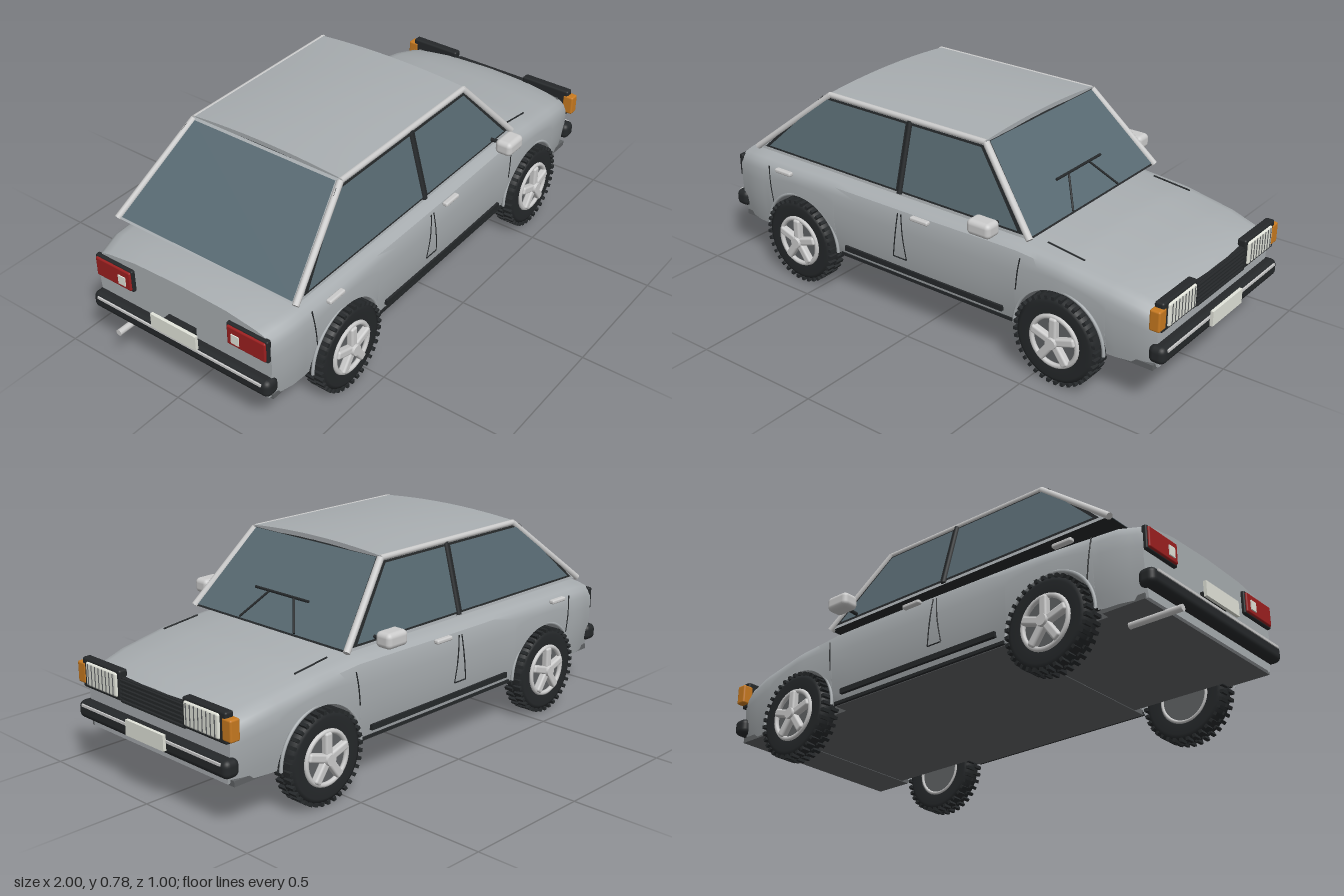
import * as THREE from 'three';
import { toCreasedNormals } from 'three/addons/utils/BufferGeometryUtils.js';
import { RoundedBoxGeometry } from 'three/addons/geometries/RoundedBoxGeometry.js';

const mat = (color, side = THREE.FrontSide) => new THREE.MeshStandardMaterial({ color, side });
const GREY = mat(0xcccccc), PAINT = mat(0xa8adb0, THREE.DoubleSide), BLACK = mat(0x25282a, THREE.DoubleSide);
const GLASS = mat(0x586a72, THREE.DoubleSide), RED = mat(0x9c1f1f), ORANGE = mat(0xc87a20);
const LAMP = mat(0xe2e4da), FLOOR = mat(0x606365);

const WHEEL_X = [-0.595, 0.59], WHEEL_Y = 0.168, ARCH = 0.178;

// Piecewise linear lookup in [x, value] pairs
function lookup(keys, x) {
  for (let i = 1; i < keys.length; i++) {
    const [x0, a] = keys[i - 1], [x1, b] = keys[i];
    if (x <= x1) return a + (b - a) * (x - x0) / (x1 - x0);
  }
  return keys[keys.length - 1][1];
}
const topY = x => lookup([[-0.945, 0.452], [-0.85, 0.467], [-0.5, 0.477], [0.4, 0.485], [0.6, 0.468], [0.8, 0.437], [0.9, 0.413], [0.945, 0.392]], x);
const halfW = x => lookup([[-0.945, 0.382], [-0.85, 0.405], [-0.6, 0.416], [0, 0.42], [0.6, 0.416], [0.8, 0.402], [0.9, 0.386], [0.945, 0.37]], x);
const sideZ = (x, y) => halfW(x) - 0.018 * ((y - 0.33) / 0.165) ** 2;

export function createModel() {
  const car = new THREE.Group();
  car.name = 'car';
  const add = (name, geo, material, x = 0, y = 0, z = 0, parent = car) => {
    const m = new THREE.Mesh(geo, material);
    m.name = name;
    m.position.set(x, y, z);
    parent.add(m);
    return m;
  };
  const box = (name, material, w, h, d, x, y, z, parent) =>
    add(name, new THREE.BoxGeometry(w, h, d), material, x, y, z, parent);
  const rbox = (name, material, w, h, d, r, x, y, z) =>
    add(name, new RoundedBoxGeometry(w, h, d, 3, r), material, x, y, z);
  // Straight rod between two points
  const rod = (name, material, a, b, r) => {
    const A = new THREE.Vector3(...a), B = new THREE.Vector3(...b), d = B.clone().sub(A);
    const m = add(name, new THREE.CylinderGeometry(r, r, d.length(), 10), material);
    m.position.copy(A).add(B).multiplyScalar(0.5);
    m.quaternion.setFromUnitVectors(new THREE.Vector3(0, 1, 0), d.normalize());
  };
  // Flat four-cornered panel
  const panel = (name, material, p) => {
    const g = new THREE.BufferGeometry();
    g.setAttribute('position', new THREE.Float32BufferAttribute([0, 1, 2, 0, 2, 3].flatMap(i => p[i]), 3));
    g.computeVertexNormals();
    add(name, g, material);
  };

  add('body', bodyGeometry(), PAINT);

  // Floor and inner wheel wells
  box('innerFloor', FLOOR, 1.84, 0.22, 0.68, 0, 0.272, 0);
  box('middleFloor', FLOOR, 0.8, 0.02, 0.79, 0, 0.17, 0);
  for (const s of [-1, 1]) box('endFloor', FLOOR, 0.16, 0.02, 0.75, s * 0.857, 0.17, 0);

  // Cabin: slopes of the four faces by height
  const cz = y => 0.39 - (y - 0.485) * 0.27;
  const fx = y => 0.455 - (y - 0.485) * 0.88;
  const rx = y => -0.83 + (y - 0.485) * 1.22;
  const lo = 0.485, hi = 0.755;
  const face = (name, material, xAt, y0, y1, inset, off) => panel(name, material,
    [[1, y0], [-1, y0], [-1, y1], [1, y1]].map(([s, y]) => [xAt(y) + off, y, s * (cz(y) - inset)]));
  face('windscreenFrame', BLACK, fx, lo, hi, 0, 0);
  face('windscreen', GLASS, fx, 0.492, 0.752, 0.014, 0.004);
  face('rearFrame', PAINT, rx, lo, hi, 0, 0);
  face('rearWindow', GLASS, rx, 0.492, 0.75, 0.014, -0.004);
  panel('cabinBase', BLACK, [[rx(lo), lo, cz(lo)], [fx(lo), lo, cz(lo)], [fx(lo), lo, -cz(lo)], [rx(lo), lo, -cz(lo)]]);

  for (const s of [-1, 1]) {
    const side = (name, material, pts, off) =>
      panel(name, material, pts.map(([x, y]) => [x, y, s * (cz(y) + off)]));
    side('cabinSide', PAINT, [[rx(lo), lo], [fx(lo), lo], [fx(hi), hi], [rx(hi), hi]], 0);
    side('sideWindowFrame', BLACK, [[-0.79, 0.496], [0.428, 0.496], [0.212, 0.74], [-0.535, 0.74]], 0.003);
    side('rearSideWindow', GLASS, [[-0.765, 0.504], [-0.13, 0.504], [-0.13, 0.733], [-0.53, 0.733]], 0.006);
    side('frontSideWindow', GLASS, [[-0.1, 0.504], [0.405, 0.504], [0.205, 0.733], [-0.1, 0.733]], 0.006);
    // Pillars, roof rail and centre post
    rod('windscreenPillar', GREY, [fx(lo), lo, s * cz(lo)], [fx(hi), hi - 0.006, s * cz(hi)], 0.013);
    rod('rearPillar', GREY, [rx(lo), lo, s * cz(lo)], [rx(hi), hi - 0.006, s * cz(hi)], 0.012);
    rod('roofRail', GREY, [rx(hi), hi - 0.006, s * cz(hi)], [fx(hi), hi - 0.006, s * cz(hi)], 0.011);
    rod('centrePost', BLACK, [-0.115, 0.49, s * cz(0.49)], [-0.115, 0.745, s * cz(0.745)], 0.011);
  }

  // Crowned roof
  const roof = new THREE.BoxGeometry(0.72, 0.016, 0.632, 16, 1, 16);
  const p = roof.attributes.position;
  for (let i = 0; i < p.count; i++) {
    const u = p.getX(i) / 0.36, v = p.getZ(i) / 0.316;
    p.setY(i, p.getY(i) + 0.021 * (1 - v * v) * (1 - 0.3 * u * u));
  }
  add('roof', toCreasedNormals(roof, 0.7), PAINT, -0.14, 0.75, 0);

  // Wiper
  rod('wiperBlade', BLACK, [fx(0.592) + 0.02, 0.592, -0.135], [fx(0.592) + 0.02, 0.592, 0.135], 0.005);
  for (const s of [-1, 1])
    rod('wiperArm', BLACK, [fx(0.497) + 0.012, 0.497, s * 0.14], [fx(0.592) + 0.02, 0.592, s * 0.062], 0.004);

  // Side details
  for (const s of [-1, 1]) {
    const seam = pts => {
      const curve = new THREE.CatmullRomCurve3(pts.map(([x, y]) => new THREE.Vector3(x, y, s * (sideZ(x, y) + 0.0005))));
      add('doorSeam', new THREE.TubeGeometry(curve, 10, 0.0025, 5), BLACK);
    };
    seam([[-0.765, 0.425], [-0.755, 0.34], [-0.745, 0.26]]);
    seam([[-0.105, 0.425], [-0.115, 0.34], [-0.13, 0.25]]);
    seam([[-0.09, 0.425], [-0.08, 0.34], [-0.068, 0.25]]);
    seam([[0.432, 0.42], [0.425, 0.37], [0.418, 0.3]]);
    seam([[-0.13, 0.25], [-0.1, 0.25], [-0.068, 0.25]]);
    box('sillStrip', BLACK, 0.73, 0.02, 0.014, -0.005, 0.203, s * 0.411);
    box('sillEdge', BLACK, 0.8, 0.012, 0.016, 0, 0.168, s * 0.398);
    for (const x of [-0.665, 0.005]) rbox('doorHandle', GREY, 0.08, 0.016, 0.022, 0.006, x, 0.432, s * 0.422);
    rbox('mirror', GREY, 0.098, 0.056, 0.068, 0.018, 0.318, 0.523, s * 0.465);
    rod('mirrorArm', BLACK, [0.32, 0.51, s * 0.38], [0.32, 0.515, s * 0.44], 0.007);
    rod('bonnetSeam', BLACK, [0.49, 0.467, s * 0.334], [0.64, 0.449, s * 0.338], 0.003);
    // Wheel arch lips
    for (const x of WHEEL_X)
      add('archLip', new THREE.TorusGeometry(ARCH + 0.004, 0.006, 8, 32, Math.PI), PAINT, x, WHEEL_Y, s * 0.41);
  }

  // Front: grille, lamps, bumper, plate
  box('grille', BLACK, 0.02, 0.088, 0.33, 0.947, 0.346, 0);
  for (let i = 0; i < 6; i++) box('grilleSlat', BLACK, 0.012, 0.006, 0.32, 0.96, 0.312 + i * 0.0145, 0);
  for (const s of [-1, 1]) {
    rbox('headlampSurround', BLACK, 0.035, 0.108, 0.212, 0.008, 0.947, 0.362, s * 0.27);
    rbox('headlamp', LAMP, 0.024, 0.086, 0.172, 0.008, 0.96, 0.363, s * 0.262);
    for (let i = 0; i < 8; i++) box('lampRib', FLOOR, 0.004, 0.076, 0.003, 0.972, 0.363, s * (0.192 + i * 0.02));
    rbox('indicator', ORANGE, 0.04, 0.076, 0.044, 0.007, 0.947, 0.359, s * 0.379);
  }
  rbox('frontBumper', BLACK, 0.062, 0.064, 0.785, 0.022, 0.952, 0.228, 0);
  box('frontBumperStrip', GREY, 0.006, 0.009, 0.73, 0.983, 0.247, 0);
  box('frontPlate', LAMP, 0.012, 0.056, 0.2, 0.991, 0.244, 0);

  // Rear: lamps, bumper, plate, exhaust
  for (const s of [-1, 1]) {
    rbox('tailLampSurround', BLACK, 0.02, 0.088, 0.172, 0.006, -0.948, 0.371, s * 0.293);
    rbox('tailLamp', RED, 0.022, 0.076, 0.16, 0.006, -0.954, 0.371, s * 0.293);
    box('reverseLamp', LAMP, 0.006, 0.036, 0.032, -0.966, 0.366, s * 0.25);
  }
  rbox('rearBumper', BLACK, 0.062, 0.064, 0.785, 0.022, -0.952, 0.228, 0);
  box('rearBumperStrip', GREY, 0.006, 0.009, 0.73, -0.983, 0.247, 0);
  box('rearPlate', LAMP, 0.012, 0.056, 0.2, -0.988, 0.288, 0);
  box('rearPlateMount', BLACK, 0.045, 0.03, 0.12, -0.962, 0.288, 0);
  rod('exhaust', GREY, [-1, 0.153, -0.26], [-0.8, 0.153, -0.26], 0.012);

  // Wheels
  for (const x of WHEEL_X) for (const s of [-1, 1]) {
    const w = new THREE.Group();
    w.name = 'wheel';
    w.position.set(x, WHEEL_Y, s * 0.397);
    if (s < 0) w.rotation.y = Math.PI;
    car.add(w);
    const profile = [[0.1, -0.033], [0.14, -0.037], [0.155, -0.03], [0.159, 0], [0.155, 0.03], [0.14, 0.037], [0.1, 0.033]]
      .map(a => new THREE.Vector2(...a));
    add('tyre', new THREE.LatheGeometry(profile, 48).rotateX(Math.PI / 2), BLACK, 0, 0, 0, w);
    for (let i = 0; i < 36; i++) for (const k of [-1, 1]) {
      const a = (i + k * 0.25) * Math.PI / 18;
      const lug = box('treadLug', BLACK, 0.014, 0.012, 0.035, Math.cos(a) * 0.16, Math.sin(a) * 0.16, k * 0.02, w);
      lug.rotation.z = a;
    }
    add('rimDisc', new THREE.CylinderGeometry(0.102, 0.102, 0.05, 40).rotateX(Math.PI / 2), FLOOR, 0, 0, 0, w);
    add('rimRing', new THREE.TorusGeometry(0.092, 0.009, 8, 40), GREY, 0, 0, 0.034, w);
    add('innerRing', new THREE.TorusGeometry(0.092, 0.006, 6, 40), GREY, 0, 0, -0.03, w);
    for (let i = 0; i < 5; i++) {
      const a = Math.PI / 2 + i * Math.PI * 0.4;
      const spoke = rbox('spoke', GREY, 0.08, 0.03, 0.028, 0.008, Math.cos(a) * 0.052, Math.sin(a) * 0.052, 0.037);
      spoke.rotation.z = a;
      w.add(spoke);
    }
    add('hub', new THREE.CylinderGeometry(0.02, 0.026, 0.03, 20).rotateX(Math.PI / 2), GREY, 0, 0, 0.045, w);
  }
  return car;
}

// Lower body: cross-sections along x, cut away over the wheels
function bodyGeometry() {
  const xs = [-0.945, -0.925, -0.9, -0.85, -0.8, -0.3, -0.15, 0, 0.15, 0.3, 0.8, 0.85, 0.9, 0.925, 0.945];
  for (const c of WHEEL_X) for (let i = 0; i <= 24; i++) xs.push(c - ARCH * Math.cos(i * Math.PI / 24));
  xs.sort((a, b) => a - b);
  const rings = xs.map(x => {
    let low = 0.165;
    for (const c of WHEEL_X) {
      const d = ARCH ** 2 - (x - c) ** 2;
      if (d > 0) low = Math.max(low, WHEEL_Y + Math.sqrt(d));
    }
    const t = topY(x), w = halfW(x), sh = t - 0.07, half = [];
    for (let i = 0; i <= 5; i++) {
      const y = low + (sh - low) * i / 5;
      half.push([x, y, sideZ(x, y)]);
    }
    half.push([x, t - 0.045, w - 0.012], [x, t - 0.031, w - 0.03], [x, t - 0.023, w - 0.06], [x, t - 0.006, 0.2]);
    return [...half, [x, t, 0], ...half.map(([a, b, c]) => [a, b, -c]).reverse()];
  });
  const n = rings[0].length, index = [];
  for (let r = 0; r < rings.length - 1; r++) for (let i = 0; i < n - 1; i++) {
    const a = r * n + i, b = a + n;
    index.push(a, b, a + 1, b, b + 1, a + 1);
  }
  const end = (rings.length - 1) * n;
  for (let i = 1; i < n - 1; i++) index.push(0, i, i + 1, end, end + i + 1, end + i);
  const g = new THREE.BufferGeometry();
  g.setAttribute('position', new THREE.Float32BufferAttribute(rings.flat(2), 3));
  g.setIndex(index);
  // End caps run opposite ways so that both face outwards
  return toCreasedNormals(g, 0.6);
}
